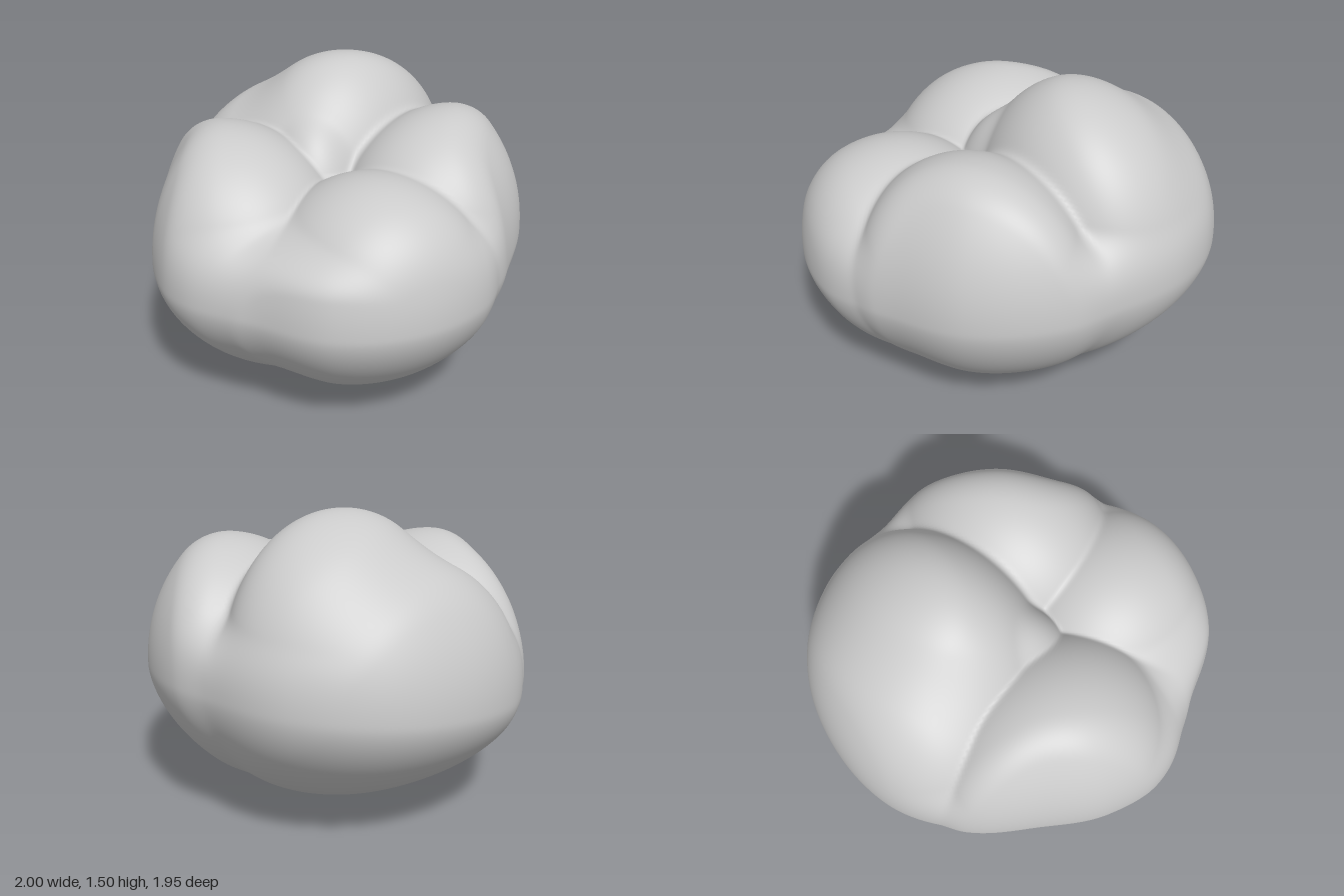
import * as THREE from 'three';
import { mergeVertices } from 'three/addons/utils/BufferGeometryUtils.js';

// Radius of the widest outline, every 22.5 degrees from +x towards +z
const OUTLINE = [1.0, 1.03, 1.01, 0.92, 0.975, 0.93, 0.88, 0.93, 0.99, 1.03, 1.06, 1.04, 0.985, 0.98, 0.97, 0.935];

// Swollen lobes: centre, radii, blend width with the lobes before it
const LOBES = [
  { c: [-0.23, 0.75, -0.34], r: [0.5, 0.77, 0.63], k: 0 },      // tall back lobe
  { c: [-0.46, 0.7, -0.27], r: [0.62, 0.62, 0.68], k: 0.1 },    // its outer shoulder
  { c: [-0.05, 0.65, 0.07], r: [0.28, 0.58, 0.27], k: 0.08 },   // small central ridge
  { c: [0.43, 0.72, -0.4], r: [0.53, 0.61, 0.62], k: 0.04 },    // second back lobe
  { c: [0.5, 0.62, 0.21], r: [0.57, 0.55, 0.53], k: 0.02 },     // side lobe
  { c: [-0.28, 0.66, 0.44], r: [0.64, 0.625, 0.56], k: 0.015 }, // broad front lobe
  { c: [0.42, 0.6, 0.5], r: [0.56, 0.36, 0.42], k: 0.08 },      // low front lobe
];

function outlineRadius(x, z) {
  const n = OUTLINE.length;
  const t = ((Math.atan2(z, x) / (2 * Math.PI) + 1) % 1) * n;
  const i = Math.floor(t), f = t - i;
  const p = (j) => OUTLINE[(i + j + n) % n];
  const a = p(-1), b = p(0), c = p(1), d = p(2);
  return b + 0.5 * f * (c - a + f * (2 * a - 5 * b + 4 * c - d + f * (3 * (b - c) + d - a)));
}

function smoothMin(a, b, k) {
  if (k <= 0) return Math.min(a, b);
  const h = Math.max(k - Math.abs(a - b), 0) / k;
  return Math.min(a, b) - h * h * k * 0.25;
}

// Bowl tapering to an off-centre foot, closed by a crown of the given height
function bowl(x, y, z, crown, crownPower) {
  const rim = 0.63 - 0.11 * Math.min(0, z);
  const dy = y - rim;
  const depth = Math.min(1, Math.max(0, -dy / rim));
  const px = x - 0.12 * depth * depth;
  const h = Math.hypot(px, z) / outlineRadius(px, z);
  const v = Math.abs(dy) / (dy < 0 ? rim + 0.01 : crown);
  const p = dy < 0 ? 1.68 : crownPower;
  return (Math.pow(Math.pow(h, p) + Math.pow(v, p), 1 / p) - 1) * 0.6;
}

// Lobes rise out of a low-crowned bowl and are kept inside a tall dome
function field(x, y, z) {
  let d = Infinity;
  for (const { c, r, k } of LOBES) {
    const q = Math.hypot((x - c[0]) / r[0], (y - c[1]) / r[1], (z - c[2]) / r[2]);
    d = smoothMin(d, (q - 1) * 0.55, k);
  }
  d = smoothMin(d, bowl(x, y, z, 0.37, 3), 0.09);
  return -smoothMin(-d, -bowl(x, y, z, 0.92, 2), 0.05);
}

// Distance from the core to the skin in one direction
function skinDistance(core, dir) {
  const at = (t) => field(core.x + dir.x * t, core.y + dir.y * t, core.z + dir.z * t);
  let hi = 1.4, lo = hi;
  while (lo > 0.02) {
    lo -= 0.02;
    if (at(lo) < 0) break;
    hi = lo;
  }
  for (let i = 0; i < 12; i++) {
    const mid = (lo + hi) / 2;
    if (at(mid) < 0) lo = mid;
    else hi = mid;
  }
  return (lo + hi) / 2;
}

function lobedSkin() {
  let geo = new THREE.IcosahedronGeometry(1, 56);
  geo.deleteAttribute('uv');
  geo.deleteAttribute('normal');
  geo = mergeVertices(geo, 1e-5);
  const core = new THREE.Vector3(0.08, 0.6, 0.03);
  const pos = geo.attributes.position;
  const dir = new THREE.Vector3();
  for (let i = 0; i < pos.count; i++) {
    dir.fromBufferAttribute(pos, i).normalize();
    dir.multiplyScalar(skinDistance(core, dir)).add(core);
    pos.setXYZ(i, dir.x, dir.y, dir.z);
  }
  geo.computeVertexNormals();
  return geo;
}

export function createModel() {
  const group = new THREE.Group();
  group.name = 'lobedFruit';
  const body = new THREE.Mesh(lobedSkin(), new THREE.MeshStandardMaterial({ color: 0xcccccc }));
  body.name = 'fruitBody';
  group.add(body);
  return group;
}
